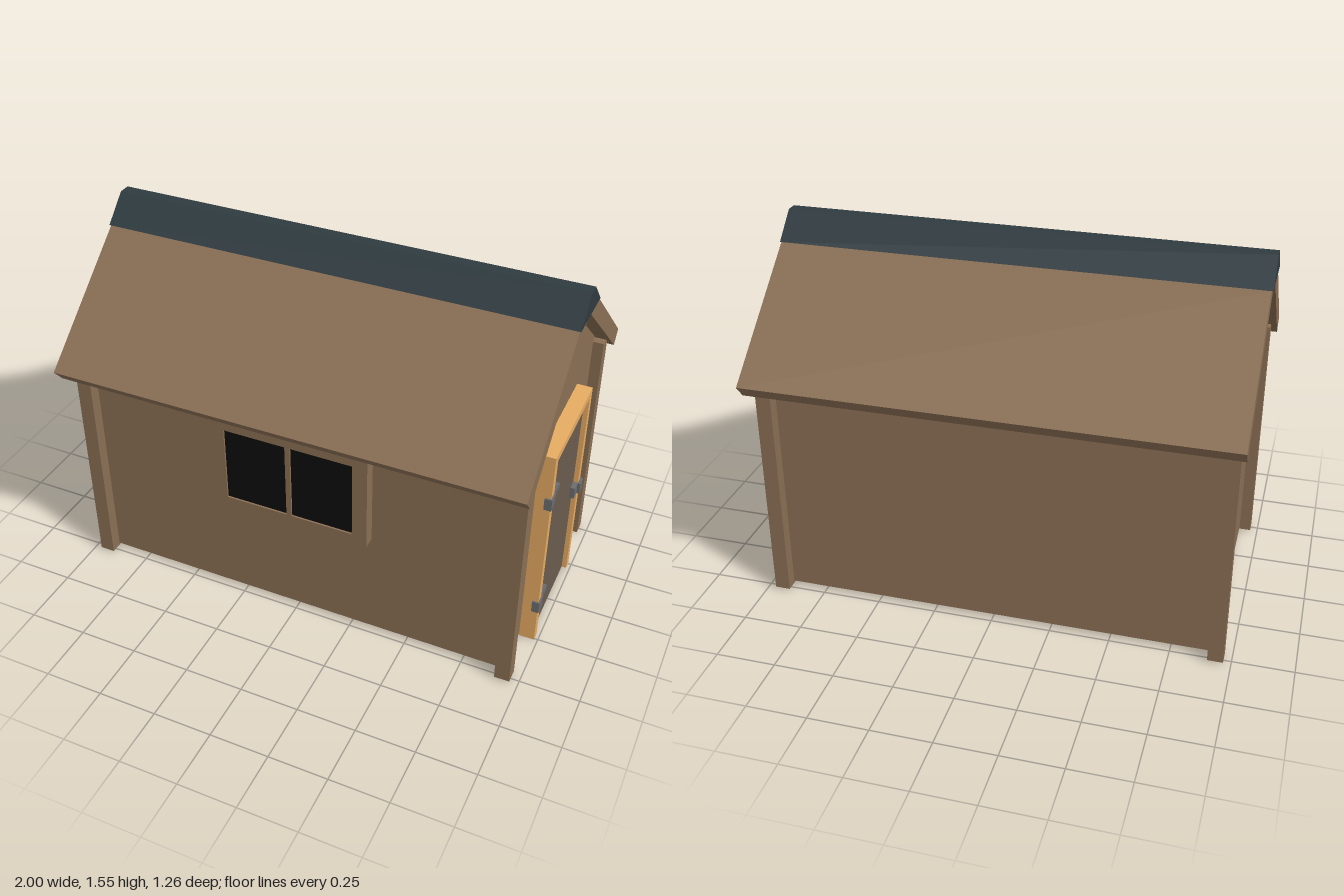
import * as THREE from 'three';

const material = (color) => new THREE.MeshStandardMaterial({ color, flatShading: true });
const wood = material(0x8a6f54);
const doorWood = material(0x6b5b4e);
const trim = material(0xe6ab62);
const slate = material(0x2f3b40);
const glass = material(0x0c0c0c);
const iron = material(0x6a6c6f);

export function createModel() {
  const shed = new THREE.Group();
  shed.name = 'shed';

  const add = (name, geometry, mat) => {
    const mesh = new THREE.Mesh(geometry, mat);
    mesh.name = name;
    shed.add(mesh);
    return mesh;
  };

  // Box given by its limits on each axis
  const box = (name, mat, x0, x1, y0, y1, z0, z1) =>
    add(name, new THREE.BoxGeometry(x1 - x0, y1 - y0, z1 - z0), mat)
      .position.set((x0 + x1) / 2, (y0 + y1) / 2, (z0 + z1) / 2);

  const shapeOf = (points) => new THREE.Shape(points.map(([a, b]) => new THREE.Vector2(a, b)));

  // Outline of [z, y] points drawn out along x
  const prism = (name, mat, points, x0, x1) => {
    const geometry = new THREE.ExtrudeGeometry(
      shapeOf(points.map(([z, y]) => [-z, y])), { depth: x1 - x0, bevelEnabled: false });
    geometry.rotateY(Math.PI / 2).translate(x0, 0, 0);
    return add(name, geometry, mat);
  };

  // Walls with gables and floor
  prism('walls', wood,
    [[0.475, 0.02], [-0.475, 0.02], [-0.475, 1.07], [0, 1.46], [0.475, 1.07]], -0.92, 0.92);

  // Corner posts
  for (const x of [-0.937, 0.933]) {
    for (const z of [-0.494, 0.494]) {
      box('cornerPost', wood, x - 0.032, x + 0.032, 0.01, 1.04, z - 0.031, z + 0.031);
    }
  }

  // Roof slopes
  for (const s of [1, -1]) {
    prism('roofSlope', wood,
      [[0, 1.455], [s * 0.585, 0.97], [s * 0.63, 1.025], [s * 0.13, 1.447], [s * 0.02, 1.54], [0, 1.54]],
      -0.993, 0.985);
  }

  // Ridge cap
  prism('ridgeCap', slate,
    [[0.132, 1.448], [-0.132, 1.448], [-0.025, 1.553], [0.025, 1.553]], -1, 0.99);

  // Window: frame with two openings, panes set just behind
  const frame = shapeOf([[-0.34, 0.5], [0.335, 0.5], [0.335, 0.935], [-0.34, 0.935]]);
  for (const [x0, x1] of [[-0.285, -0.016], [0.006, 0.272]]) {
    frame.holes.push(shapeOf([[x0, 0.545], [x0, 0.886], [x1, 0.886], [x1, 0.545]]));
    box('windowPane', glass, x0, x1, 0.545, 0.886, 0.472, 0.52);
  }
  add('windowFrame', new THREE.ExtrudeGeometry(frame, { depth: 0.057, bevelEnabled: false }), wood)
    .position.z = 0.471;

  // Door and its surround
  box('door', doorWood, 0.915, 0.965, 0.005, 0.926, -0.22, 0.22);
  box('doorJambLeft', trim, 0.918, 0.985, 0.003, 0.926, 0.22, 0.257);
  box('doorJambRight', trim, 0.918, 0.985, 0.003, 0.926, -0.255, -0.22);
  box('doorLintel', trim, 0.918, 0.985, 0.926, 0.96, -0.255, 0.257);

  // Hinges: a plate around the jamb and a tapered strap on the door
  for (const y of [0.737, 0.192]) {
    box('hingePlate', iron, 0.96, 0.991, y - 0.027, y + 0.027, 0.215, 0.264);
    prism('hingeStrap', iron,
      [[0.215, y - 0.026], [0.127, y - 0.012], [0.127, y + 0.012], [0.215, y + 0.026]], 0.96, 0.983);
  }

  // Latch
  box('latchPlate', iron, 0.96, 0.985, 0.438, 0.491, -0.22, -0.175);
  box('latchHasp', iron, 0.965, 0.997, 0.438, 0.491, -0.258, -0.216);

  return shed;
}
